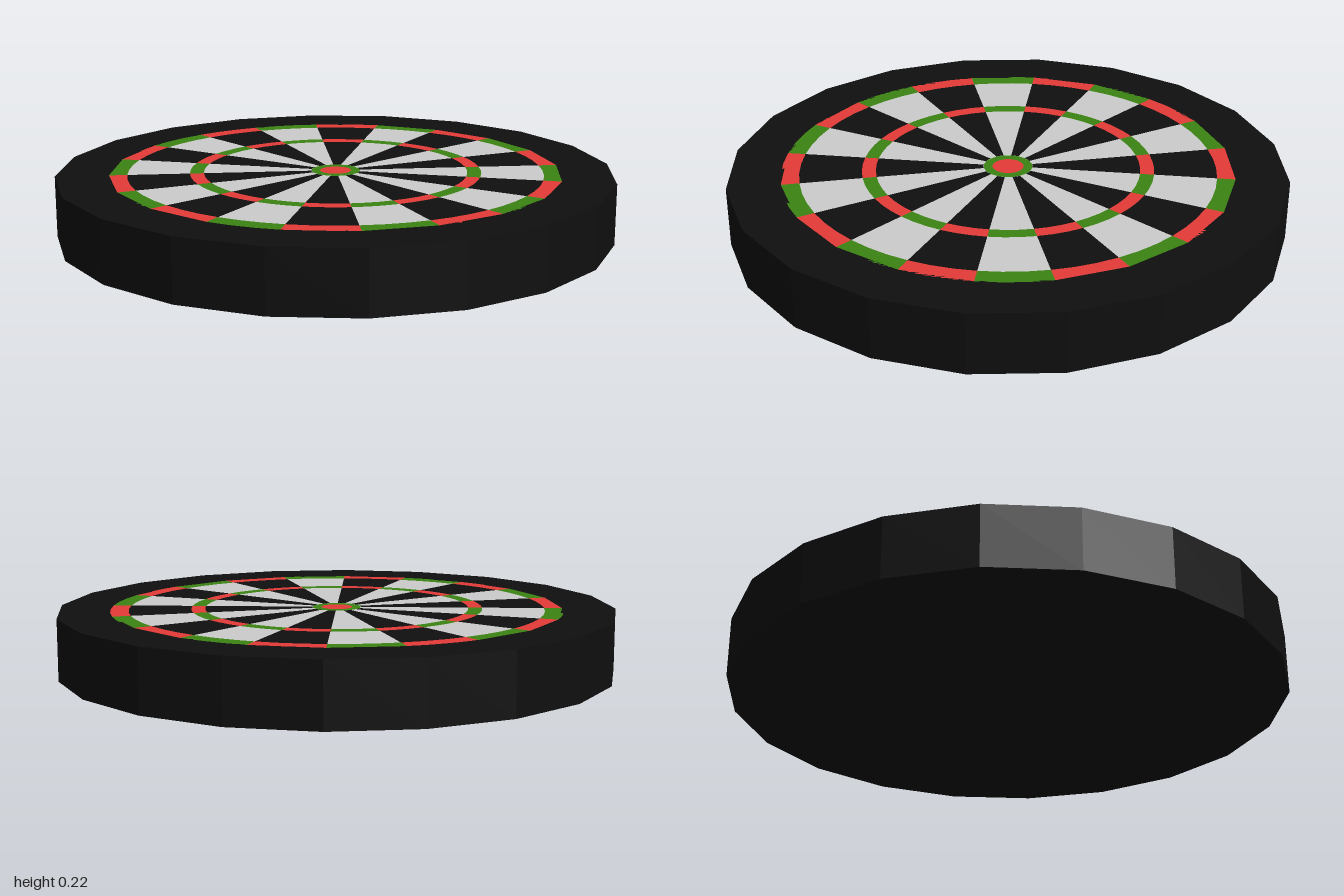
import * as THREE from 'three';
import { mergeGeometries } from 'three/addons/utils/BufferGeometryUtils.js';

const SIDES = 20;
const STEP = (Math.PI * 2) / SIDES;
const HEIGHT = 0.22;

const material = (color) => new THREE.MeshStandardMaterial({ color, flatShading: true });
const black = material(0x0f0f0f);
const pale = material(0xcccccc);
const red = material(0xe53b37);
const green = material(0x3a8412);

// Every second wedge of a band lying on the board face; parity picks which half
function alternateWedges(inner, outer, parity) {
  const wedges = [];
  for (let i = parity; i < SIDES; i += 2) {
    wedges.push(new THREE.RingGeometry(inner, outer, 1, 1, i * STEP, STEP));
  }
  return mergeGeometries(wedges);
}

export function createModel() {
  const board = new THREE.Group();
  board.name = 'dartboard';

  function addFace(name, geometry, mat) {
    geometry.rotateX(-Math.PI / 2);
    geometry.translate(0, HEIGHT, 0);
    const mesh = new THREE.Mesh(geometry, mat);
    mesh.name = name;
    board.add(mesh);
  }

  // Back, side wall and flat outer border in one turned profile
  const profile = [[0, 0], [1, 0], [1, HEIGHT], [0.81, HEIGHT]].map(([x, y]) => new THREE.Vector2(x, y));
  const body = new THREE.Mesh(new THREE.LatheGeometry(profile, SIDES), black);
  body.name = 'boardBody';
  board.add(body);

  // Scoring bands: name, inner radius, outer radius, even and odd colours
  const bands = [
    ['doubleRing', 0.745, 0.81, green, red],
    ['outerWedges', 0.523, 0.745, pale, black],
    ['trebleRing', 0.473, 0.523, green, red],
    ['innerWedges', 0.088, 0.473, pale, black],
  ];
  for (const [name, inner, outer, even, odd] of bands) {
    addFace(name + 'Even', alternateWedges(inner, outer, 0), even);
    addFace(name + 'Odd', alternateWedges(inner, outer, 1), odd);
  }

  // Centre
  addFace('outerBull', new THREE.RingGeometry(0.056, 0.088, SIDES), green);
  addFace('bullseye', new THREE.CircleGeometry(0.056, SIDES), red);

  return board;
}
